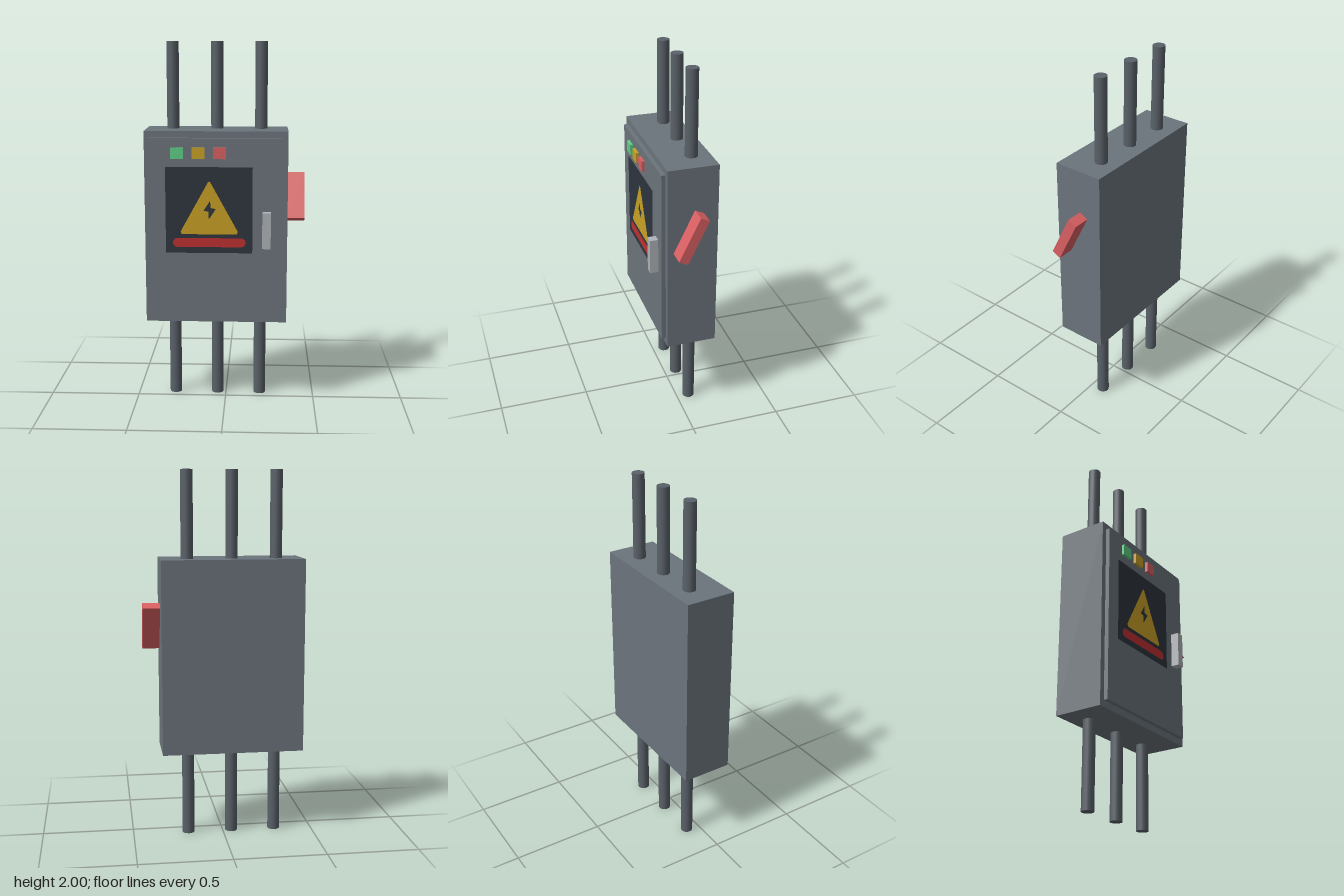
import * as THREE from 'three';

const mat = (name, color) => {
  const m = new THREE.MeshStandardMaterial({ color });
  m.name = name;
  return m;
};

export function createModel() {
  const group = new THREE.Group();
  const steel = mat('cabinet grey', 0x6c747c);
  const pipeGrey = mat('conduit grey', 0x596168);
  const silver = mat('handle silver', 0xb0b4b8);
  const red = mat('signal red', 0xda6062);
  const green = mat('signal green', 0x5fcf86);
  const yellow = mat('warning yellow', 0xc9a224);
  const dark = mat('sign dark', 0x2d353d);
  const stripeRed = mat('stripe red', 0xc03030);

  const add = (name, geometry, material, x = 0, y = 0, z = 0) => {
    const mesh = new THREE.Mesh(geometry, material);
    mesh.name = name;
    mesh.position.set(x, y, z);
    group.add(mesh);
    return mesh;
  };
  // Box given by its limits on each axis
  const box = (name, material, [x0, x1], [y0, y1], [z0, z1]) =>
    add(name, new THREE.BoxGeometry(x1 - x0, y1 - y0, z1 - z0), material,
      (x0 + x1) / 2, (y0 + y1) / 2, (z0 + z1) / 2);
  // Flat painted shape just in front of the door
  const decal = (name, material, points, z) =>
    add(name, new THREE.ShapeGeometry(new THREE.Shape(points.map(p => new THREE.Vector2(...p)))), material, 0, 0, z);

  // Cabinet and door
  box('cabinet', steel, [-0.434, 0.339], [0.475, 1.53], [-0.172, 0.102]);
  box('door', steel, [-0.403, 0.307], [0.511, 1.495], [0.102, 0.125]);

  // Conduits above and below the cabinet
  for (const x of [-0.29, -0.048, 0.193]) {
    for (const [name, y] of [['lowerConduit', 0.2425], ['upperConduit', 1.7575]]) {
      const pipe = new THREE.CylinderGeometry(0.0335, 0.0335, 0.485, 16);
      add(name, pipe, pipeGrey, x, y, -0.07);
    }
  }

  // Indicator lights
  [['greenLight', green], ['yellowLight', yellow], ['redLight', red]].forEach(([name, m], i) => {
    const x = -0.289 + i * 0.1145;
    box(name, m, [x, x + 0.068], [1.386, 1.446], [0.125, 0.141]);
  });

  // Door handle and tilted switch lever
  box('doorHandle', silver, [0.203, 0.249], [0.905, 1.1], [0.125, 0.17]);
  const lever = add('switchLever', new THREE.BoxGeometry(0.093, 0.262, 0.054), red, 0.386, 1.163, -0.012);
  lever.rotation.x = -0.45;

  // Warning sign: panel, triangle, bolt and rounded stripe
  decal('signPanel', dark, [[-0.319, 0.871], [0.15, 0.871], [0.15, 1.341], [-0.319, 1.341]], 0.126);
  decal('warningTriangle', yellow, [[-0.232, 0.975], [0.066, 0.975], [0.071, 0.99],
    [-0.076, 1.258], [-0.083, 1.264], [-0.09, 1.258], [-0.238, 0.99]], 0.128);
  decal('bolt', dark, [[-0.078, 1.16], [-0.113, 1.105], [-0.087, 1.1],
    [-0.085, 1.058], [-0.047, 1.115], [-0.075, 1.12]], 0.13);
  const stripe = new THREE.Shape();
  stripe.absarc(0.088, 0.929, 0.025, -Math.PI / 2, Math.PI / 2, false);
  stripe.absarc(-0.255, 0.929, 0.025, Math.PI / 2, Math.PI * 1.5, false);
  add('signStripe', new THREE.ShapeGeometry(stripe, 8), stripeRed, 0, 0, 0.128);

  return group;
}
